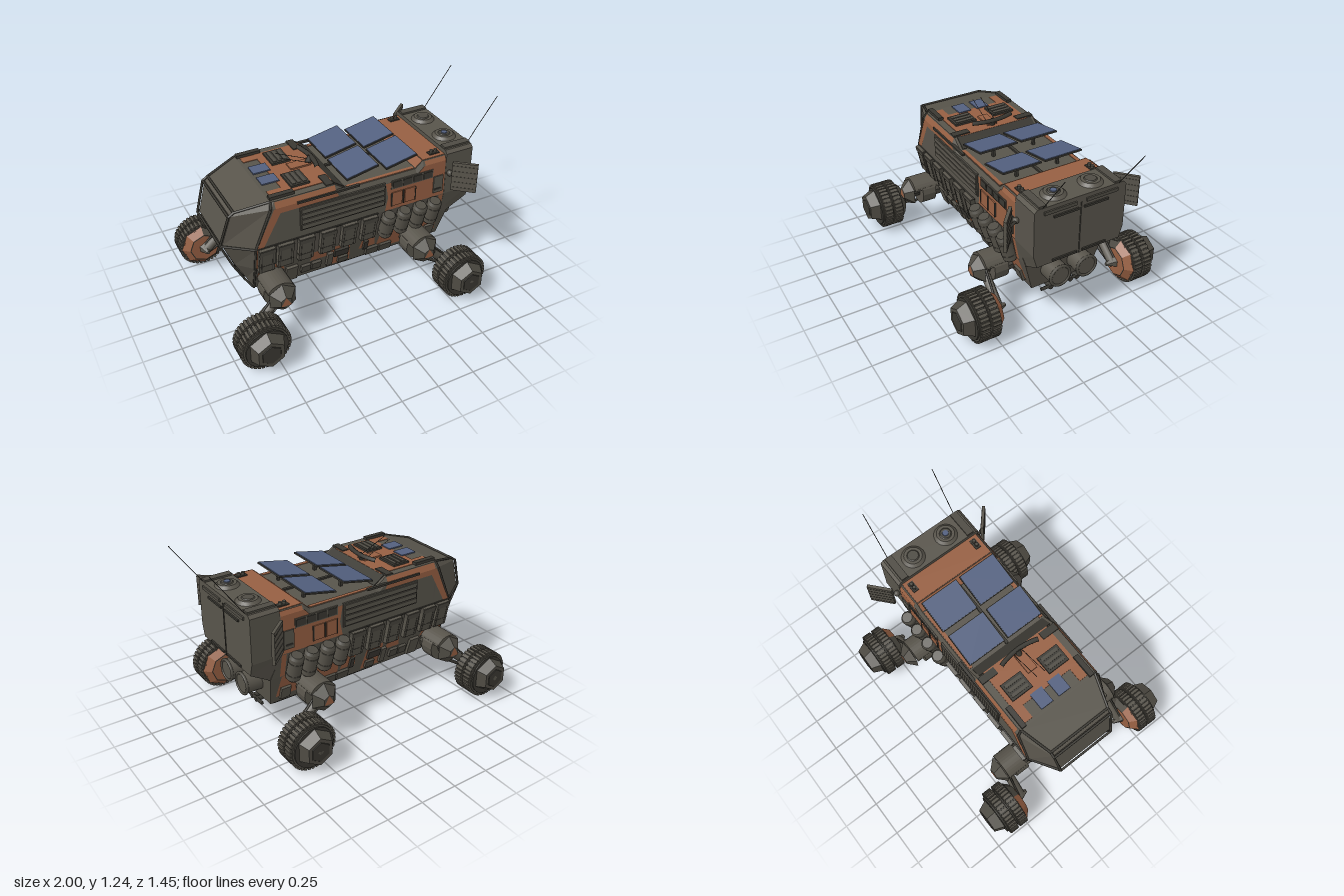
import * as THREE from 'three';

const mat = (name, color, side = THREE.FrontSide) => Object.assign(new THREE.MeshStandardMaterial({ color, side }), { name });
const grey = mat('hull grey', 0x58544b), light = mat('equipment grey', 0x4e4b43), dark = mat('dark trim', 0x3a3832);
const rust = mat('rust orange', 0x965f42, THREE.DoubleSide), blue = mat('solar blue', 0x53607f);
const V = (x, y, z) => new THREE.Vector3(x, y, z);
const HALF = Math.PI / 2;

function add(parent, name, geo, m, x = 0, y = 0, z = 0, rx = 0, ry = 0, rz = 0) {
  const mesh = new THREE.Mesh(geo, m);
  mesh.name = name;
  mesh.position.set(x, y, z);
  mesh.rotation.set(rx, ry, rz);
  parent.add(mesh);
  return mesh;
}
const box = (p, name, m, w, h, d, ...at) => add(p, name, new THREE.BoxGeometry(w, h, d), m, ...at);
const boxes = (p, ...rows) => rows.forEach(r => box(p, ...r));
const can = (p, name, m, rTop, rBase, h, n, ...at) => add(p, name, new THREE.CylinderGeometry(rTop, rBase, h, n), m, ...at);
const named = name => Object.assign(new THREE.Group(), { name });

// faceted drum along z, r0 at the inner end and r1 at the outer end
function drum(r0, r1, len, sides, ...arc) {
  const g = new THREE.CylinderGeometry(r1, r0, len, sides, ...arc).rotateX(HALF).toNonIndexed();
  g.computeVertexNormals();
  return g;
}
function rod(p, name, m, a, b, r, sides = 6) {
  const d = b.clone().sub(a), mesh = can(p, name, m, r, r, d.length(), sides);
  mesh.position.copy(a).addScaledVector(d, 0.5);
  mesh.quaternion.setFromUnitVectors(V(0, 1, 0), d.normalize());
}

// hull skin from half rings (bottom to top, +z side) mirrored across z
function loft(halves) {
  const rings = halves.map(h => [...h, ...h.map(([x, y, z]) => [x, y, -z]).reverse()]);
  const pos = [], n = rings[0].length, A = rings[0], B = rings[rings.length - 1];
  const quad = (a, b, c, d) => pos.push(...a, ...b, ...c, ...a, ...c, ...d);
  for (let i = 0; i + 1 < rings.length; i++) for (let k = 0; k < n; k++)
    quad(rings[i][k], rings[i + 1][k], rings[i + 1][(k + 1) % n], rings[i][(k + 1) % n]);
  for (let k = 0; k < n / 2 - 1; k++) {
    quad(A[k], A[k + 1], A[n - 2 - k], A[n - 1 - k]);
    quad(B[n - 1 - k], B[n - 2 - k], B[k + 1], B[k]);
  }
  const g = new THREE.BufferGeometry();
  g.setAttribute('position', new THREE.Float32BufferAttribute(pos, 3));
  g.computeVertexNormals();
  return g;
}

// half width of the hull at height y
function sideZ(y) {
  const p = [[0.25, 0.22], [0.47, 0.285], [0.64, 0.318], [0.9, 0.318], [0.94, 0.298]];
  const i = Math.max(1, p.findIndex(q => y <= q[0]));
  return THREE.MathUtils.mapLinear(y, p[i - 1][0], p[i][0], p[i - 1][1], p[i][1]);
}
// painted patch lying on the hull side
function patch(p, ...pts) {
  const g = new THREE.ShapeGeometry(new THREE.Shape(pts.map(q => new THREE.Vector2(...q)))), a = g.attributes.position;
  for (let i = 0; i < a.count; i++) a.setZ(i, sideZ(a.getY(i)) + 0.003);
  g.computeVertexNormals();
  add(p, 'rustPaint', g, rust);
}

// wheel; rust paint covers the half of the inner rim facing away from the leg
function makeWheel(paintStart) {
  const w = named('wheel');
  for (const z of [0.533, 0.61]) {
    add(w, 'tyre', drum(0.157, 0.157, 0.05, 36), dark, 0, 0, z);
    add(w, 'tyreShoulder', drum(0.149, 0.149, 0.068, 36), light, 0, 0, z);
    for (let i = 0, a = 0; i < 36; i++, a += Math.PI / 18)
      box(w, 'tread', grey, 0.014, 0.018, 0.06, Math.cos(a) * 0.157, Math.sin(a) * 0.157, z, 0, 0, a);
  }
  add(w, 'tyreCore', drum(0.138, 0.138, 0.16, 20), dark, 0, 0, 0.575);
  add(w, 'innerRim', drum(0.105, 0.15, 0.045, 8), light, 0, 0, 0.479);
  add(w, 'rimPaint', drum(0.107, 0.153, 0.045, 4, 1, true, paintStart, Math.PI), rust, 0, 0, 0.478);
  add(w, 'rimFacePaint', new THREE.CircleGeometry(0.1, 8), rust, 0, 0, 0.455);
  add(w, 'innerHub', drum(0.012, 0.045, 0.075, 6), grey, 0, 0, 0.425);
  add(w, 'outerHub', drum(0.125, 0.095, 0.066, 6), light, 0, 0.01, 0.69);
  add(w, 'hubRecess', drum(0.07, 0.066, 0.004, 6), dark, 0, 0.01, 0.724);
  add(w, 'hubCap', drum(0.05, 0.02, 0.006, 4), grey, 0, 0.01, 0.723);
  return w;
}

// shoulder drum, swing arm and wheel
function makeLeg(px, wx) {
  const g = named('leg'), y = 0.338, w = makeWheel(wx < px ? Math.PI : 0);
  add(g, 'shoulder', drum(0.102, 0.102, 0.1, 16), grey, px, y, 0.345);
  add(g, 'shoulderRoot', drum(0.075, 0.075, 0.12, 8), light, px, y, 0.26);
  add(g, 'shoulderCover', drum(0.104, 0.104, 0.18, 12, 1, false, HALF * 1.3, HALF * 1.4), grey, px, y, 0.36);
  box(g, 'coverFloor', light, 0.18, 0.012, 0.18, px, 0.385, 0.36);
  add(g, 'axle', drum(0.045, 0.045, 0.1, 8), dark, px, y, 0.43);
  add(g, 'shoulderCap', drum(0.1, 0.04, 0.058, 6), light, px, y, 0.485);
  add(g, 'capMark', new THREE.CircleGeometry(0.042, 3), rust, px, y, 0.516, 0, 0, HALF);
  rod(g, 'swingArm', grey, V(px, y, 0.43), V(wx, 0.165, 0.435), 0.032);
  rod(g, 'damper', dark, V(px, 0.25, 0.41), V(wx, 0.13, 0.44), 0.011);
  rod(g, 'brakeLine', dark, V(px, 0.41, 0.43), V(wx, 0.2, 0.45), 0.007);
  w.position.set(wx, 0.165, 0);
  return g.add(w);
}

// everything carried on one flank
function makeFlank() {
  const s = named('flank');
  s.add(makeLeg(-0.64, -0.835), makeLeg(0.385, 0.59));
  // side paint
  patch(s, [-0.735, 0.642], [-0.69, 0.642], [-0.57, 0.862], [-0.18, 0.862], [-0.2, 0.9], [-0.61, 0.9]);
  patch(s, [-0.6, 0.9], [-0.2, 0.9], [-0.2, 0.937], [-0.6, 0.937]);
  patch(s, [0.15, 0.642], [0.595, 0.642], [0.595, 0.9], [0.43, 0.9], [0.385, 0.848], [0.15, 0.848], [0.17, 0.74]);
  for (const [x0, x1, y0, y1, e] of [[0.44, 0.595, 0.9, 0.928, 0], [0.56, 0.595, 0.472, 0.638, 0], [-0.735, -0.7, 0.475, 0.638, 0],
    [-0.73, -0.54, 0.39, 0.468, 0.02], [-0.36, -0.24, 0.38, 0.46, 0.02], [-0.23, -0.06, 0.27, 0.45, 0.02],
    [0.0, 0.12, 0.34, 0.46, 0.02], [0.13, 0.33, 0.28, 0.45, 0.02], [0.42, 0.6, 0.3, 0.468, 0.02]])
    patch(s, [x0, y0], [x1, y0], [x1 - e, y1], [x0 + e, y1]);
  // stowage packs
  for (const x of [-0.675, -0.55, -0.41, -0.26, -0.11, 0.035]) {
    boxes(s, ['pack', grey, 0.104, 0.19, 0.06, x, 0.55, 0.3, 0.19], ['packLid', light, 0.108, 0.035, 0.064, x, 0.622, 0.315, 0.19],
      ['packBelt', dark, 0.106, 0.004, 0.063, x, 0.51, 0.292, 0.19]);
    for (const dx of [-0.036, 0.036]) box(s, 'packStrap', dark, 0.004, 0.19, 0.064, x + dx, 0.55, 0.3, 0.19);
  }
  rod(s, 'packRail', dark, V(-0.73, 0.642, 0.322), V(0.1, 0.642, 0.322), 0.005);
  // leaning gas bottles
  for (const x of [0.165, 0.28, 0.4, 0.51]) {
    const b = named('gasBottle');
    can(b, 'bottle', grey, 0.048, 0.048, 0.17, 16);
    for (const e of [1, -1]) {
      can(b, 'bottleEnd', light, e > 0 ? 0.036 : 0.048, e > 0 ? 0.048 : 0.036, 0.018, 16, 0, e * 0.094, 0);
      can(b, 'bottleBand', light, 0.05, 0.05, 0.01, 16, 0, e * 0.05, 0);
    }
    b.position.set(x, 0.535, 0.327);
    b.rotation.x = 0.3;
    s.add(b);
  }
  // louvred panel, vents and hatches
  boxes(s, ['louvrePanel', light, 0.592, 0.165, 0.012, -0.149, 0.775, 0.32], ['ventFrame', grey, 0.31, 0.062, 0.008, 0.345, 0.828, 0.322],
    ['serviceDoor', grey, 0.072, 0.125, 0.012, 0.545, 0.735, 0.322], ['doorHandle', dark, 0.05, 0.012, 0.016, 0.545, 0.7, 0.324]);
  for (let i = 0; i < 4; i++) {
    box(s, 'louvre', grey, 0.575, 0.03, 0.014, -0.149, 0.717 + i * 0.038, 0.326);
    box(s, 'vent', dark, 0.066, 0.046, 0.016, 0.232 + i * 0.076, 0.828, 0.322);
  }
  for (const x of [0.235, 0.33]) box(s, 'hatch', rust, 0.075, 0.1, 0.012, x, 0.72, 0.322);
  for (const x of [0.195, 0.282, 0.37]) box(s, 'hatchHinge', dark, 0.006, 0.1, 0.018, x, 0.72, 0.322);
  // lower lockers and pipes
  for (const [x, y, w, h, m] of [[-0.39, 0.335, 0.065, 0.06, light], [-0.315, 0.335, 0.065, 0.06, light], [-0.14, 0.39, 0.1, 0.06, dark],
    [-0.12, 0.31, 0.07, 0.05, light], [0.04, 0.38, 0.03, 0.08, dark], [0.1, 0.3, 0.09, 0.06, light], [0.2, 0.3, 0.09, 0.06, light],
    [-0.49, 0.33, 0.08, 0.13, grey], [-0.22, 0.35, 0.04, 0.12, grey], [0.54, 0.33, 0.07, 0.09, grey]])
    box(s, 'locker', m, w, h, 0.04, x, y, sideZ(y), 0.29);
  rod(s, 'sillPipe', dark, V(-0.18, 0.245, 0.2), V(0.6, 0.245, 0.2), 0.011, 8);
  for (const z of [0.06, 0.14]) rod(s, 'underPipe', dark, V(-0.65, 0.245, z), V(0.55, 0.245, z), 0.014, 8);
  for (const x of [-0.45, -0.2, 0.05, 0.3]) box(s, 'underTray', light, 0.16, 0.02, 0.1, x, 0.245, 0.1);
  // angled sensor panel near the tail
  box(s, 'sensorPanel', grey, 0.165, 0.21, 0.02, 0.68, 0.8, 0.42, 0, -0.72);
  for (let i = 0; i < 5; i++) box(s, 'sensorRib', light, 0.155, 0.006, 0.024, 0.68, 0.72 + i * 0.04, 0.42, 0, -0.72);
  rod(s, 'sensorArm', dark, V(0.62, 0.8, 0.31), V(0.67, 0.8, 0.41), 0.009, 8);
  add(s, 'sensorJoint', new THREE.SphereGeometry(0.022, 10, 8), light, 0.625, 0.8, 0.335);
  // tail: antenna, thruster, door fittings
  rod(s, 'antenna', dark, V(0.785, 0.94, 0.265), V(1.0, 1.24, 0.265), 0.0025, 5);
  can(s, 'thruster', grey, 0.072, 0.072, 0.14, 20, 0.69, 0.387, 0.097, 0, 0, HALF);
  add(s, 'thrusterRim', new THREE.TorusGeometry(0.069, 0.01, 8, 24), light, 0.758, 0.387, 0.097, 0, HALF);
  for (const y of [0.572, 0.88]) box(s, 'doorBar', dark, 0.014, 0.014, 0.17, 0.803, y, 0.105);
  boxes(s, ['tailLampStrip', light, 0.014, 0.022, 0.22, 0.803, 0.922, 0.145], ['tailCorner', light, 0.19, 0.02, 0.05, 0.7, 0.962, 0.262]);
  for (const z of [0.05, 0.1]) rod(s, 'exhaustPipe', dark, V(0.5, 0.243, z), V(0.67, 0.235, z), 0.017, 10);
  // roof fittings
  can(s, 'roofDome', grey, 0.06, 0.082, 0.022, 24, 0.7, 0.968, 0.13);
  can(s, 'domeTop', light, 0.035, 0.045, 0.008, 20, 0.7, 0.98, 0.13);
  for (const x of [0.525, 0.555]) can(s, 'beacon', light, 0.012, 0.012, 0.025, 10, x, 0.945, 0.25);
  for (const x of [0.005, 0.285]) {
    const m = box(s, 'solarFrame', dark, 0.23, 0.01, 0.272, x, 0.953, 0.148, 0, 0, 0.2);
    box(m, 'solarCells', blue, 0.22, 0.004, 0.262, 0, 0.007, 0);
    box(s, 'solarPost', dark, 0.018, 0.075, 0.018, x + 0.04, 0.92, 0.149);
  }
  for (let i = 0; i < 3; i++) box(s, 'hatchSlat', light, 0.022, 0.01, 0.125, -0.425 + i * 0.035, 0.956, 0.143);
  boxes(s, ['roofPanel', blue, 0.115, 0.008, 0.09, -0.54, 0.947, 0.068], ['roofHatch', dark, 0.125, 0.018, 0.155, -0.39, 0.948, 0.143],
    ['roofRack', dark, 0.16, 0.02, 0.035, -0.54, 0.952, 0.265], ['roofRail', dark, 0.42, 0.014, 0.02, -0.25, 0.9, 0.318],
    ['roofBlock', dark, 0.05, 0.012, 0.12, -0.23, 0.945, 0.24], ['lowRoofPaint', rust, 0.48, 0.004, 0.025, 0.13, 0.887, 0.28],
    ['frontCornerPaint', rust, 0.1, 0.006, 0.06, -0.55, 0.941, 0.215], ['beaconBase', dark, 0.075, 0.012, 0.04, 0.54, 0.934, 0.25]);
  rod(s, 'whipAerial', dark, V(-0.22, 0.95, 0.03), V(-0.44, 1.05, 0.03), 0.002, 5);
  return s;
}

export function createModel() {
  const model = named('rover');
  // main hull with the stepped roof
  const section = (x, top, x0 = x, x1 = x) => [[x0, 0.25, 0.22], [x1, 0.47, 0.285], [x, 0.64, 0.318], [x, top - 0.037, 0.318], [x, top, 0.298]];
  const neck = [[-0.73, 0.26, 0.2], [-0.74, 0.47, 0.28], [-0.74, 0.64, 0.316], [-0.63, 0.9, 0.316], [-0.62, 0.94, 0.29]];
  add(model, 'hull', loft([neck, section(-0.6, 0.94), section(-0.2, 0.94), section(-0.12, 0.885),
    section(0.38, 0.885), section(0.43, 0.93), section(0.6, 0.93, 0.63, 0.66)]), grey);
  // faceted nose and its cage
  const tip = [[-0.765, 0.33, 0.17], [-0.84, 0.48, 0.19], [-0.912, 0.66, 0.205], [-0.85, 0.865, 0.225], [-0.815, 0.888, 0.225]];
  add(model, 'nose', loft([tip, neck]), grey);
  const at = (r, i, s) => V(r[i][0] - (r === tip ? 0.013 : 0), r[i][1], r[i][2] * s);
  for (const s of [1, -1]) {
    for (let i = 0; i < 4; i++) for (const r of [tip, neck]) rod(model, 'noseFrame', dark, at(r, i, s), at(r, i + 1, s), 0.008);
    for (const i of [0, 2, 4]) rod(model, 'noseFrame', dark, at(tip, i, s), at(neck, i, s), 0.008);
  }
  for (const i of [0, 2, 3, 4]) rod(model, 'noseCrossbar', dark, at(tip, i, 1), at(tip, i, -1), 0.008);
  // tail box with the undercut and double doors
  add(model, 'tailBox', loft([
    [[0.6, 0.46, 0.28], [0.6, 0.5, 0.29], [0.6, 0.64, 0.32], [0.6, 0.94, 0.32], [0.6, 0.96, 0.3]],
    [[0.66, 0.465, 0.28], [0.8, 0.555, 0.296], [0.8, 0.64, 0.32], [0.8, 0.94, 0.32], [0.8, 0.96, 0.3]]]), grey);
  rod(model, 'rearBumper', dark, V(0.66, 0.24, -0.17), V(0.66, 0.24, 0.17), 0.011);
  can(model, 'domeLens', blue, 0.02, 0.022, 0.006, 12, 0.7, 0.986, 0.13);
  // door seam, roof paint and strips, scanner base
  boxes(model, ['doorSeam', dark, 0.006, 0.36, 0.008, 0.801, 0.735, 0], ['frontRoofPaint', rust, 0.31, 0.006, 0.5, -0.35, 0.941, 0],
    ['rearRoofPaint', rust, 0.165, 0.006, 0.59, 0.516, 0.93, 0], ['rearStepPaint', rust, 0.064, 0.006, 0.59, 0.406, 0.908, 0, 0, 0, 0.73],
    ['roofSpine', dark, 0.5, 0.012, 0.02, 0.13, 0.89, 0], ['roofStep', dark, 0.09, 0.008, 0.56, -0.16, 0.914, 0, 0, 0, -0.6],
    ['scannerBase', rust, 0.14, 0.012, 0.07, -0.3, 0.948, 0]);
  // curved scanner bar
  const arc = new THREE.QuadraticBezierCurve3(V(-0.24, 0.985, -0.145), V(-0.19, 0.98, 0), V(-0.24, 0.985, 0.145));
  add(model, 'scannerBar', new THREE.TubeGeometry(arc, 16, 0.016, 6), dark);
  rod(model, 'scannerPost', dark, V(-0.24, 0.94, 0), V(-0.215, 0.985, 0), 0.02, 8);
  // both flanks
  const flank = makeFlank(), mirror = flank.clone();
  mirror.name = 'flankMirrored';
  mirror.scale.z = -1;
  return model.add(flank, mirror);
}
